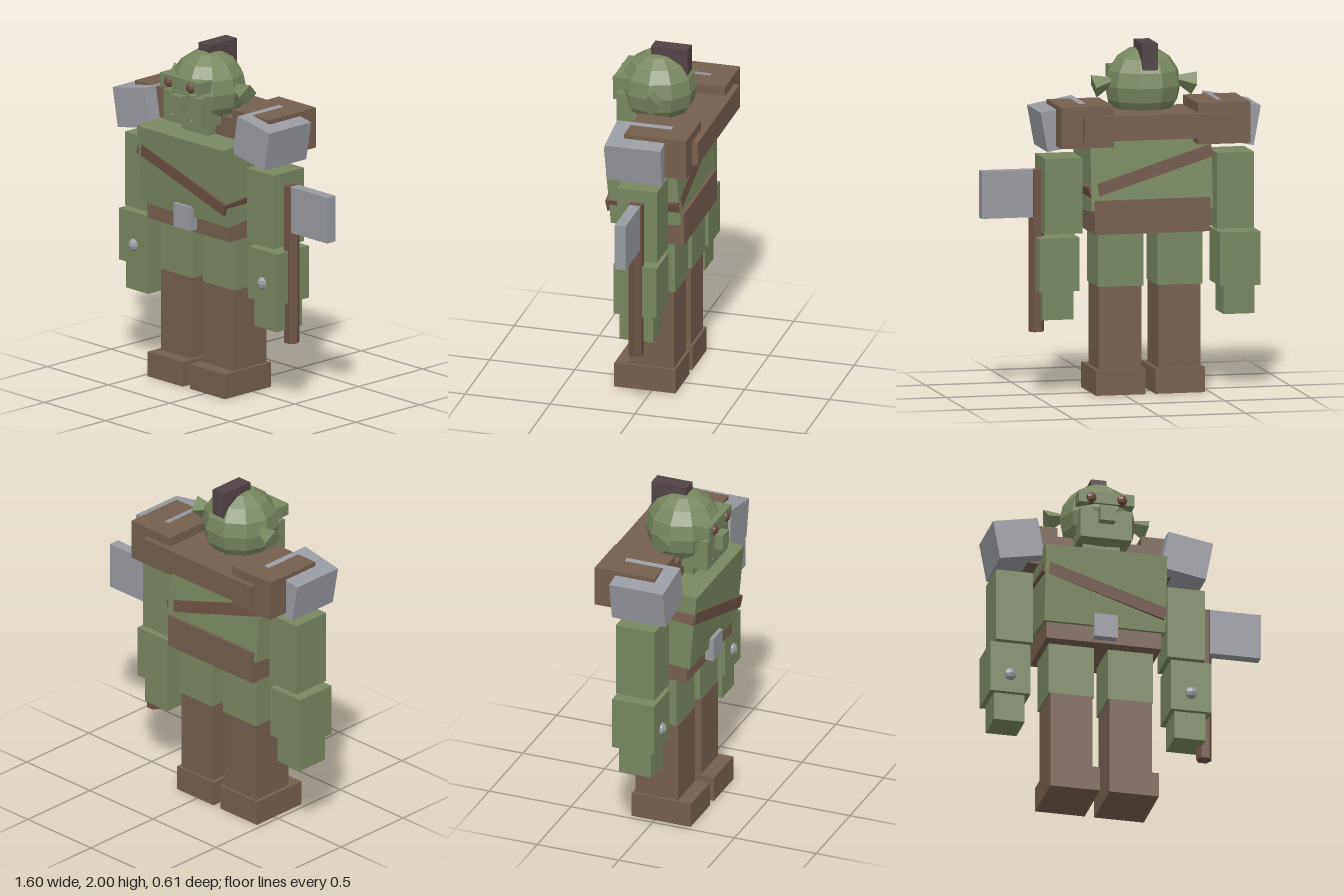
import * as THREE from 'three';

const mat = (name, color) => {
  const m = new THREE.MeshStandardMaterial({ color });
  m.name = name;
  m.flatShading = true;
  return m;
};

export function createModel() {
  const model = new THREE.Group();
  model.name = 'armouredBrute';
  const skin = mat('greenSkin', 0x78875f);
  const leather = mat('brownLeather', 0x745f50);
  const strapMat = mat('redLeather', 0x6d5346);
  const steel = mat('steel', 0x989ba1);
  const hair = mat('darkHair', 0x524447);
  const eyeMat = mat('eyeBrown', 0x6a4a40);

  const CX = -0.155; // body's plane of symmetry

  const add = (name, geo, material, x, y, z) => {
    const m = new THREE.Mesh(geo, material);
    m.name = name;
    m.position.set(x, y, z);
    model.add(m);
    return m;
  };
  // box from its extents
  const box = (name, material, x0, x1, y0, y1, z0, z1) =>
    add(name, new THREE.BoxGeometry(x1 - x0, y1 - y0, z1 - z0), material,
      (x0 + x1) / 2, (y0 + y1) / 2, (z0 + z1) / 2);
  // box placed by its distance from the body's centre plane
  const sideBox = (name, material, s, dx, w, y0, y1, z0, z1) =>
    box(name, material, CX + s * dx - w / 2, CX + s * dx + w / 2, y0, y1, z0, z1);

  for (const s of [-1, 1]) {
    const side = s > 0 ? 'left' : 'right';
    // legs
    sideBox(side + 'Boot', leather, s, 0.172, 0.288, 0, 0.145, -0.14, 0.22);
    sideBox(side + 'Shin', leather, s, 0.172, 0.247, 0.145, 0.62, -0.125, 0.135);
    sideBox(side + 'Thigh', skin, s, 0.172, 0.263, 0.62, 0.93, -0.135, 0.13);
    // arms
    sideBox(side + 'UpperArm', skin, s, 0.5, 0.217, 0.927, 1.36, -0.117, 0.12);
    sideBox(side + 'Forearm', skin, s, 0.526, 0.235, 0.6, 0.905, -0.125, 0.13);
    sideBox(side + 'Hand', skin, s, 0.526, 0.18, 0.435, 0.6, -0.095, 0.102);
    add(side + 'BracerStud', new THREE.SphereGeometry(0.04, 8, 6), steel, CX + s * 0.526, 0.71, 0.118);
    // shoulders
    sideBox(side + 'ShoulderPad', leather, s, 0.397, 0.305, 1.435, 1.67, -0.27, 0.095);
    const plate = add(side + 'ShoulderPlate', new THREE.BoxGeometry(0.264, 0.23, 0.328), steel,
      CX + s * 0.49, 1.539, 0.02);
    plate.rotation.z = -s * 0.18;
    // ear with its wide end outward
    const ear = add(side + 'Ear', new THREE.ConeGeometry(0.067, 0.16, 4), skin,
      CX + s * 0.215, 1.766, 0.018);
    ear.rotation.z = s * 1.31;
    // eye and small tusk
    add(side + 'Eye', new THREE.SphereGeometry(0.034, 8, 6), eyeMat, CX + s * 0.09, 1.797, 0.262);
    add(side + 'Tusk', new THREE.ConeGeometry(0.008, 0.02, 4), steel, CX + s * 0.079, 1.61, 0.252);
  }

  // waist
  box('belt', leather, -0.49, 0.18, 0.927, 1.12, -0.195, 0.205);
  box('buckle', steel, -0.222, -0.085, 0.945, 1.085, 0.19, 0.257);

  // chest leaning forward, with a strap wrapped across it
  const chest = add('chest', new THREE.BoxGeometry(0.705, 0.46, 0.415), skin, CX, 1.27, 0.043);
  chest.rotation.x = 0.09;
  const strap = add('chestStrap', new THREE.BoxGeometry(0.745, 0.07, 0.433), strapMat, CX, 1.256, 0.042);
  strap.rotation.order = 'ZXY';
  strap.rotation.set(0.09, 0, -0.305);

  // yoke joining the shoulder pads
  box('shoulderYoke', leather, -0.58, 0.27, 1.475, 1.615, -0.305, 0.095);

  // head
  box('neck', skin, -0.263, -0.047, 1.46, 1.62, -0.06, 0.15);
  add('skull', new THREE.SphereGeometry(0.22, 10, 8), skin, CX, 1.745, 0.05);
  box('jaw', skin, -0.305, -0.003, 1.56, 1.74, 0.09, 0.255);
  box('brow', skin, -0.317, 0.007, 1.767, 1.837, 0.14, 0.273);
  box('nose', skin, -0.2, -0.11, 1.65, 1.74, 0.2, 0.305);
  box('hairCrest', hair, -0.2, -0.11, 1.82, 2, -0.132, 0.083);

  // axe held in the left hand
  const haft = add('axeHaft', new THREE.CylinderGeometry(0.045, 0.045, 0.925, 6), strapMat, 0.477, 0.823, 0);
  haft.rotation.y = Math.PI / 6;
  box('axeBlade', steel, 0.5, 0.8, 1.017, 1.287, -0.032, 0.032);

  return model;
}
